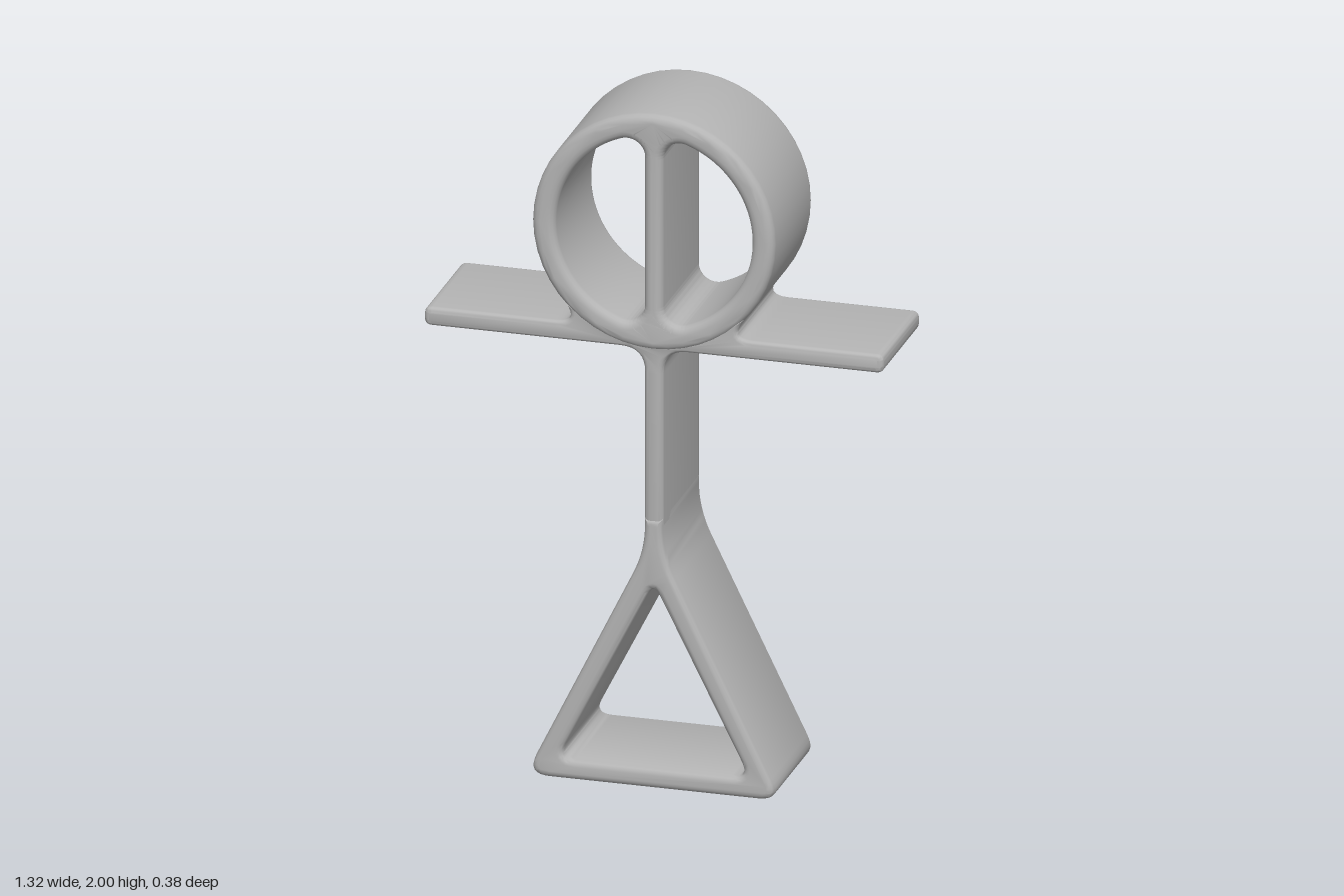
import * as THREE from 'three';
import { toCreasedNormals } from 'three/addons/utils/BufferGeometryUtils.js';

// Trace a closed polygon of [x, y, cornerRadius] points
function roundedPath(path, points) {
  const n = points.length;
  const toward = (a, b, r) => {
    const d = Math.hypot(b[0] - a[0], b[1] - a[1]);
    return [a[0] + (b[0] - a[0]) * r / d, a[1] + (b[1] - a[1]) * r / d];
  };
  points.forEach((p, i) => {
    const r = p[2] || 0;
    const start = r ? toward(p, points[(i + n - 1) % n], r) : p;
    if (i === 0) path.moveTo(start[0], start[1]);
    else path.lineTo(start[0], start[1]);
    if (r) {
      const end = toward(p, points[(i + 1) % n], r);
      path.quadraticCurveTo(p[0], p[1], end[0], end[1]);
    }
  });
  path.closePath();
  return path;
}

// Complete a right-hand outline (bottom to top) with its mirror image
function mirrored(half) {
  const other = half.filter(p => p[0] > 0).reverse().map(([x, y, r]) => [-x, y, r]);
  return [...half, ...other];
}

// Extrude an outline with softened front and back edges
function slab(name, shape, halfDepth, bevel, material, curveSegments) {
  const geometry = new THREE.ExtrudeGeometry(shape, {
    depth: 2 * (halfDepth - bevel), curveSegments,
    bevelEnabled: true, bevelThickness: bevel, bevelSize: bevel,
    bevelOffset: -bevel, bevelSegments: 4,
  });
  geometry.translate(0, 0, bevel - halfDepth);
  const mesh = new THREE.Mesh(toCreasedNormals(geometry, 0.7), material);
  mesh.name = name;
  return mesh;
}

export function createModel() {
  const group = new THREE.Group();
  group.name = 'figureStand';
  const grey = new THREE.MeshStandardMaterial({ color: 0xb4b4b4 });
  grey.name = 'grey';

  // Round head, split by an upright divider with filleted ends
  const cy = 1.65, outer = 0.35, inner = 0.283, wall = 0.027, r = 0.05;
  const head = new THREE.Shape();
  head.absarc(0, cy, outer, 0, Math.PI * 2, false);
  const fx = wall + r;
  const fy = Math.sqrt((inner - r) ** 2 - fx ** 2);
  const a = Math.atan2(fy, fx);
  for (const side of [1, -1]) {
    const hole = new THREE.Path();
    const arc = (x, y, radius, from, to) => side > 0
      ? hole.absarc(x, y, radius, from, to, false)
      : hole.absarc(-x, y, radius, Math.PI - from, Math.PI - to, true);
    arc(0, cy, inner, -a, a);
    arc(fx, cy + fy, r, a, Math.PI);
    arc(fx, cy - fy, r, Math.PI, Math.PI * 2 - a);
    hole.closePath();
    head.holes.push(hole);
  }
  group.add(slab('headRing', head, 0.192, 0.024, grey, 24));

  // Arms and stem, with fillets under the arms and beside the head
  const body = roundedPath(new THREE.Shape(), mirrored([
    [0.027, 0.62], [0.027, 1.302, 0.07], [0.662, 1.302, 0.022],
    [0.662, 1.357, 0.022], [0.215, 1.357, 0.07], [0.262, 1.42], [0.15, 1.36],
  ]));
  group.add(slab('armsAndStem', body, 0.184, 0.015, grey, 8));

  // Open triangular base that narrows into the stem
  const base = roundedPath(new THREE.Shape(), mirrored([
    [0.37, 0, 0.07], [0.027, 0.7, 0.08], [0.027, 0.8],
  ]));
  base.holes.push(roundedPath(new THREE.Path(), mirrored([
    [0.275, 0.06, 0.05], [0, 0.605, 0.035],
  ])));
  group.add(slab('triangleBase', base, 0.19, 0.02, grey, 8));

  return group;
}
